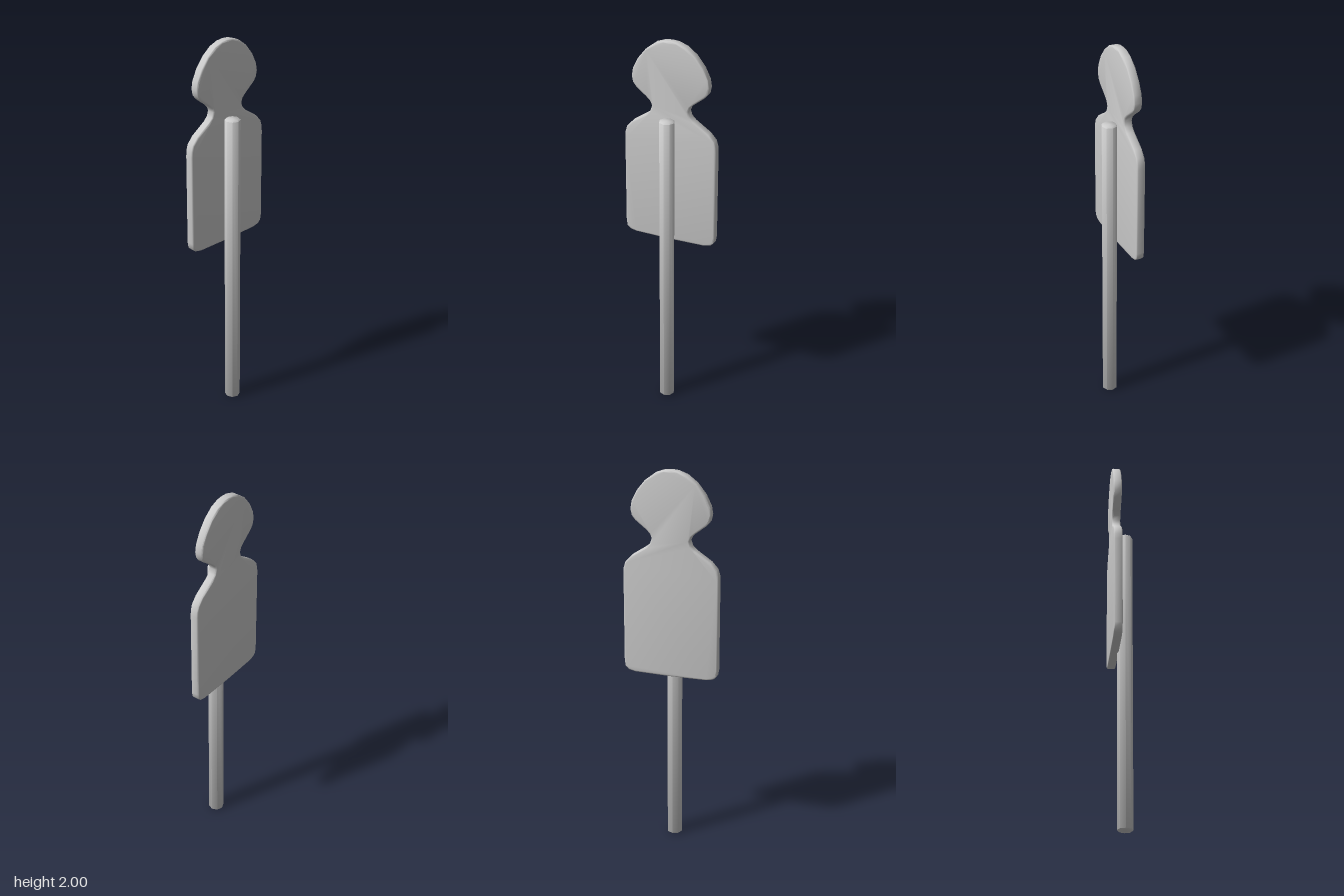
import * as THREE from 'three';
import { toCreasedNormals } from 'three/addons/utils/BufferGeometryUtils.js';

const grey = new THREE.MeshStandardMaterial({ color: 0xcccccc });

function addPart(group, name, geometry) {
  const mesh = new THREE.Mesh(toCreasedNormals(geometry, 0.9), grey);
  mesh.name = name;
  group.add(mesh);
  return mesh;
}

export function createModel() {
  const model = new THREE.Group();
  model.name = 'figureSign';

  // Right half of the outline: bottom corner, shoulder, neck, head
  const half = [
    [0.19, 0.935], [0.225, 0.943], [0.242, 0.96], [0.247, 0.99], [0.247, 1.46],
    [0.245, 1.49], [0.236, 1.52], [0.205, 1.555], [0.127, 1.607], [0.106, 1.628], [0.097, 1.655],
    [0.106, 1.677], [0.127, 1.697], [0.182, 1.74], [0.199, 1.762], [0.206, 1.795],
    [0.199, 1.835], [0.172, 1.89], [0.13, 1.943], [0.08, 1.981], [0.035, 1.997],
  ];
  const mirrored = half.map(([x, y]) => [-x, y]).reverse();
  const outline = new THREE.Shape(
    [...half, [0, 2], ...mirrored, [0, 0.932]].map(([x, y]) => new THREE.Vector2(x, y)));

  // Flat board with softly bevelled rim
  const bevel = 0.006;
  const thickness = 0.044;
  const board = new THREE.ExtrudeGeometry(outline, {
    depth: thickness - 2 * bevel,
    bevelThickness: bevel, bevelSize: 0.008, bevelOffset: -0.008, bevelSegments: 2,
  });
  board.translate(0, 0, -0.059 + bevel);
  addPart(model, 'board', board);

  // Eight-sided post with chamfered ends
  const r = 0.04, top = 1.605, c = 0.005;
  const profile = [[0, 0], [r - c, 0], [r, c], [r, top - c], [r - c, top], [0, top]];
  const post = new THREE.LatheGeometry(profile.map(([x, y]) => new THREE.Vector2(x, y)), 8);
  addPart(model, 'post', post).position.z = 0.017;

  return model;
}
